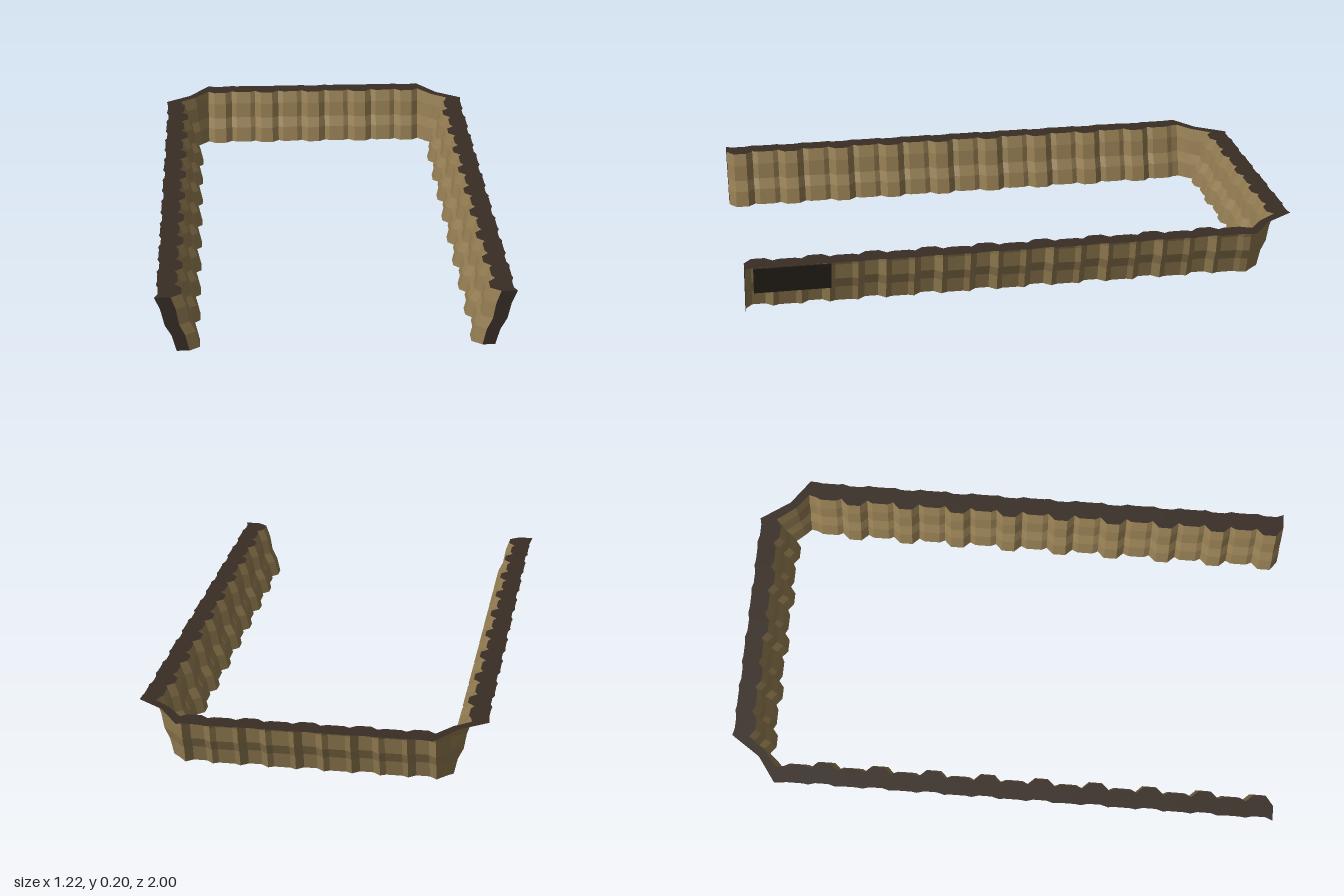
import * as THREE from 'three';

const brown = new THREE.MeshStandardMaterial({ color: 0x947d52, side: THREE.DoubleSide });
brown.name = 'brown wall';
const dark = new THREE.MeshStandardMaterial({ color: 0x382d25, side: THREE.DoubleSide });
dark.name = 'dark rim';
const black = new THREE.MeshStandardMaterial({ color: 0x2b231d, side: THREE.DoubleSide });
black.name = 'dark panel';

// Leaning wall profile: [height, inward shift]
const profile = [[0.2, 0], [0.155, 0.016], [0.097, 0.026], [0.058, 0.045], [0, 0.058]];
const RIM = 0.055;

// One pleat: a large ridge followed by a small one, [fraction of period, depth]
const bigRidge = [[0, 0.01], [0.13, 0.035], [0.37, 0.035], [0.5, 0.01]];
const smallRidge = [[0.6, 0.02], [0.9, 0.02]];
const pleat = [...bigRidge, ...smallRidge];

// Path around the U; each station has a position, inward normal and pleat depth
function makePath() {
  const side = [];
  for (let k = 0; k < 9; k++) {
    for (const [f, d] of pleat) {
      side.push({ x: 0.553, z: 1 - (k + f) * 0.2, nx: -1, nz: 0, d: k + f === 0 ? 0 : d });
    }
  }
  side.push({ x: 0.553, z: -0.8, nx: -1, nz: 0, d: 0.01 });
  side.push({ x: 0.553, z: -0.825, nx: -1, nz: 0, d: 0.005 });
  side.push({ x: 0.49, z: -0.87, nx: -0.4, nz: 0.4, d: 0 });
  const back = [];
  for (let k = 0; k < 5; k++) {
    for (const [f, d] of k < 4 ? pleat : bigRidge) {
      back.push({ x: 0.437 - (k + f) * 0.1943, z: -0.948, nx: 0, nz: 1, d: Math.min(d, 0.03) });
    }
  }
  const mirrored = side.map((p) => ({ ...p, x: -p.x, nx: -p.nx })).reverse();
  return [...side, ...back, ...mirrored];
}

// Point at a station, shifted inward by a distance
const at = (p, y, inset) => [p.x + p.nx * inset, y, p.z + p.nz * inset];

// Faceted surface joining rows of points
function loft(rows, name, material) {
  const pos = [];
  for (let i = 0; i < rows.length - 1; i++) {
    for (let j = 0; j < rows[i].length - 1; j++) {
      const a = rows[i][j], b = rows[i][j + 1], c = rows[i + 1][j + 1], d = rows[i + 1][j];
      pos.push(...a, ...b, ...c, ...a, ...c, ...d);
    }
  }
  const geo = new THREE.BufferGeometry();
  geo.setAttribute('position', new THREE.Float32BufferAttribute(pos, 3));
  geo.computeVertexNormals();
  const mesh = new THREE.Mesh(geo, material);
  mesh.name = name;
  return mesh;
}

export function createModel() {
  const group = new THREE.Group();
  group.name = 'pleatedWall';
  const path = makePath();

  // Pleated, outward-leaning sheet (stations ordered so the inside is the front)
  group.add(loft(path.map((p) => profile.map(([y, s]) => at(p, y, s + p.d))).reverse(), 'pleatedSheet', brown));

  // Flat rim reaching outward along the top edge
  group.add(loft(path.map((p) => [at(p, 0.2, p.d), at(p, 0.2, 0.3 * p.d - RIM)]), 'topRim', dark));

  for (const [s, label] of [[1, 'left'], [-1, 'right']]) {
    // Upright rim closing the front end
    const end = s > 0 ? path[0] : path[path.length - 1];
    const cols = profile.map(([y, shift], i) => [
      at(end, y, shift), at(end, y, shift - RIM + 0.003 * i),
    ]);
    group.add(loft(s > 0 ? cols : cols.reverse(), label + 'EndRim', dark));

    // Thin panel set behind the rim on the outer side
    const panel = new THREE.Mesh(new THREE.BoxGeometry(0.006, 0.102, 0.27), black);
    panel.name = label + 'Panel';
    panel.position.set(s * 0.572, 0.14, 0.835);
    panel.rotation.z = -s * 0.2;
    group.add(panel);
  }
  return group;
}
